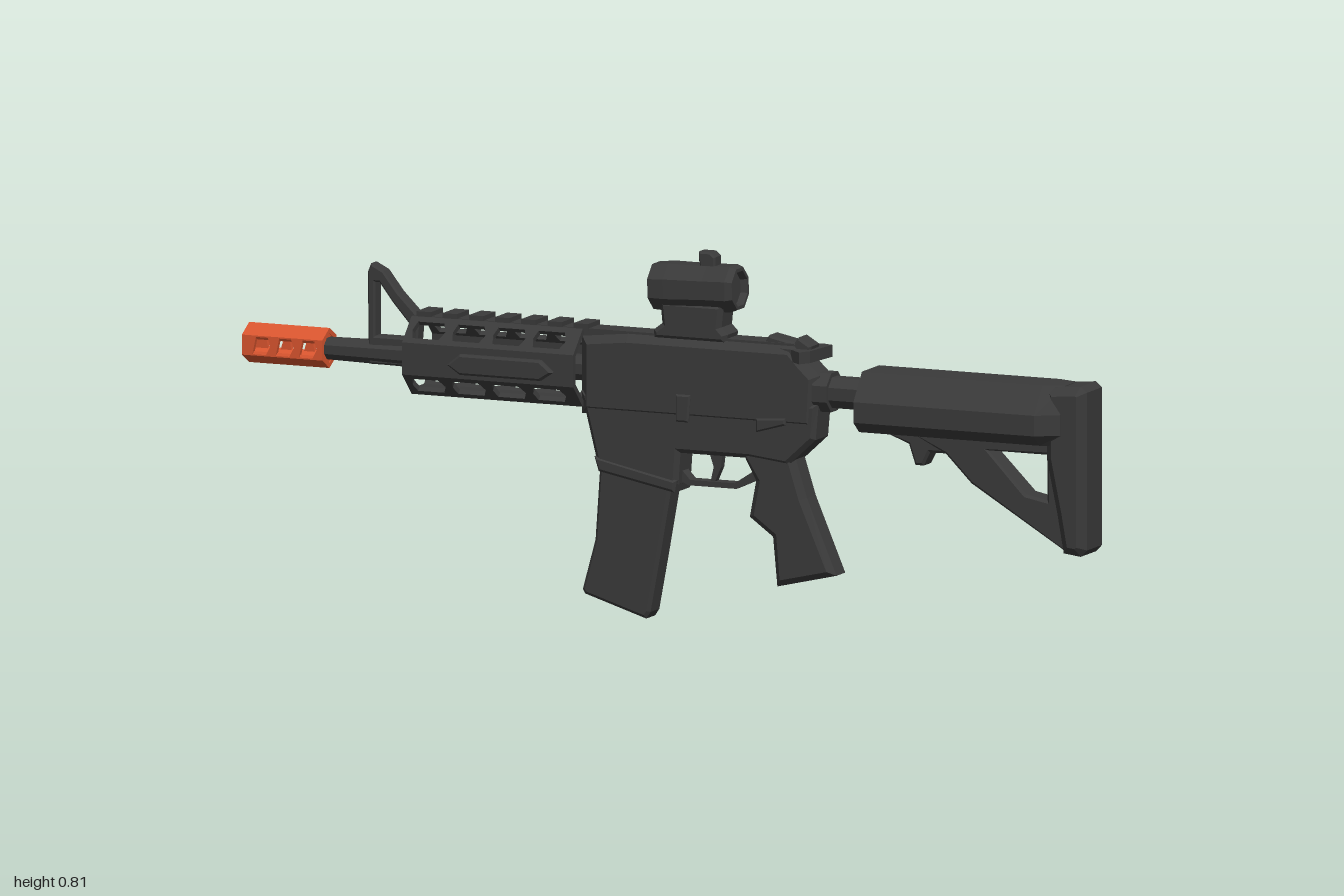
import * as THREE from 'three';

const black = new THREE.MeshStandardMaterial({ color: 0x3a3a3a, flatShading: true });
black.name = 'charcoal';
const orange = new THREE.MeshStandardMaterial({ color: 0xd9552f, flatShading: true });
orange.name = 'safety orange';

const vec = (pts) => pts.map(([x, y]) => new THREE.Vector2(x, y));

// Side outline thickened along z about z = 0, with chamfered edges
function slabGeometry(pts, width, bevel = 0, holes = []) {
  const shape = new THREE.Shape(vec(pts));
  holes.forEach((h) => shape.holes.push(new THREE.Path(vec(h))));
  const depth = width - 2 * bevel;
  const geo = new THREE.ExtrudeGeometry(shape, {
    depth, bevelEnabled: bevel > 0, bevelSize: bevel, bevelThickness: bevel,
    bevelOffset: -bevel, bevelSegments: 1, steps: 1,
  });
  return geo.translate(0, 0, -depth / 2);
}

export function createModel() {
  const model = new THREE.Group();
  model.name = 'rifle';

  function add(name, geo, mat = black, parent = model) {
    const mesh = new THREE.Mesh(geo, mat);
    mesh.name = name;
    parent.add(mesh);
  }
  const slab = (name, pts, width, bevel, holes) => add(name, slabGeometry(pts, width, bevel, holes));
  function box(name, x0, x1, y0, y1, z0, z1) {
    const geo = new THREE.BoxGeometry(x1 - x0, y1 - y0, z1 - z0);
    add(name, geo.translate((x0 + x1) / 2, (y0 + y1) / 2, (z0 + z1) / 2));
  }
  // Faceted rod along x
  function rod(name, x0, x1, y, r0, r1 = r0, sides = 8, mat = black) {
    const geo = new THREE.CylinderGeometry(r1, r0, x1 - x0, sides);
    geo.rotateY(Math.PI / sides).rotateZ(-Math.PI / 2);
    add(name, geo.translate((x0 + x1) / 2, y, 0), mat);
  }
  // Hollow prism along x made of flat panels, some with slots
  function slottedTube(name, x0, x1, y, apothem, sides, wall, mat, slots, isSlotted) {
    const tube = new THREE.Group();
    tube.name = name;
    tube.position.y = y;
    model.add(tube);
    const h = apothem * Math.tan(Math.PI / sides);
    for (let k = 0; k < sides; k++) {
      const geo = slabGeometry([[x0, -h], [x1, -h], [x1, h], [x0, h]], wall, 0, isSlotted(k) ? slots : []);
      geo.translate(0, 0, apothem - wall / 2).rotateX((k * 2 * Math.PI) / sides);
      add(name + 'Panel', geo, mat, tube);
    }
  }

  // Orange muzzle with three slanted windows on each side
  const windows = [-0.975, -0.92, -0.865].map((x) =>
    [[x, -0.019], [x + 0.032, -0.019], [x + 0.042, 0], [x + 0.036, 0.019], [x + 0.008, 0.019]]);
  slottedTube('muzzle', -1, -0.81, 0.535, 0.038, 6, 0.01, orange, windows, (k) => k % 3 === 0);
  rod('muzzleCollar', -0.822, -0.812, 0.535, 0.038, 0.038, 6, orange);

  // Barrel
  rod('barrel', -0.82, -0.6, 0.535, 0.025, 0.029);
  rod('innerBarrel', -0.6, -0.19, 0.535, 0.029);

  // Front sight tower
  slab('frontSight',
    [[-0.71, 0.51], [-0.6, 0.51], [-0.59, 0.62], [-0.64, 0.67], [-0.675, 0.715], [-0.705, 0.73], [-0.713, 0.71]],
    0.036, 0.004, [[[-0.695, 0.572], [-0.695, 0.69], [-0.685, 0.69], [-0.655, 0.65], [-0.615, 0.605], [-0.615, 0.572]]]);

  // Handguard with slots along its sloping faces
  const slots = [-0.58, -0.485, -0.39, -0.295].map((x) =>
    [[x, -0.022], [x + 0.062, -0.022], [x + 0.072, 0], [x + 0.062, 0.022], [x, 0.022], [x - 0.006, 0]]);
  slottedTube('handguard', -0.6, -0.195, 0.54, 0.085, 8, 0.012, black, slots, (k) => k % 2 === 1);
  for (const s of [-1, 1]) {
    const strip = slabGeometry([[-0.46, 0.515], [-0.27, 0.515], [-0.24, 0.535], [-0.27, 0.56], [-0.46, 0.56], [-0.49, 0.535]], 0.02, 0.005);
    add('sideRail', strip.translate(0, 0, s * 0.088));
  }

  // Top rail with ridges
  box('topRail', -0.6, 0.3, 0.61, 0.626, -0.028, 0.028);
  for (let x = -0.59; x < -0.2; x += 0.062) box('railRidge', x, x + 0.034, 0.62, 0.636, -0.032, 0.032);

  // Receiver
  slab('upperReceiver',
    [[-0.2, 0.44], [0.355, 0.44], [0.362, 0.56], [0.33, 0.59], [0.3, 0.622], [-0.09, 0.622], [-0.2, 0.61]], 0.09, 0.018);
  slab('lowerReceiver',
    [[-0.2, 0.49], [-0.185, 0.43], [-0.16, 0.33], [0.01, 0.29], [0.03, 0.3], [0.035, 0.37], [0.2, 0.37],
      [0.29, 0.36], [0.355, 0.42], [0.362, 0.5]], 0.084, 0.01);
  slab('magazineWellLip', [[-0.165, 0.35], [-0.155, 0.318], [0.025, 0.283], [0.03, 0.31]], 0.092, 0.006);
  box('ejectionPort', -0.06, 0.11, 0.5, 0.56, -0.049, -0.043);
  slab('boltCatch', [[0.03, 0.44], [0.06, 0.44], [0.065, 0.5], [0.03, 0.5]], 0.1, 0.004);
  slab('selector', [[0.22, 0.43], [0.29, 0.45], [0.29, 0.465], [0.22, 0.46]], 0.1, 0.004);

  // Forward assist on the far side
  const assist = new THREE.CylinderGeometry(0.02, 0.024, 0.09, 6).rotateZ(-Math.PI / 2).rotateY(0.45);
  add('forwardAssist', assist.translate(0.285, 0.54, -0.055));

  // Charging handle and folded rear sight
  const handle = new THREE.ExtrudeGeometry(new THREE.Shape(vec(
    [[0.22, -0.025], [0.29, -0.04], [0.33, -0.063], [0.355, -0.055], [0.345, 0.04], [0.33, 0.065], [0.3, 0.04], [0.22, 0.025]])),
  { depth: 0.026, bevelEnabled: false });
  add('chargingHandle', handle.rotateX(Math.PI / 2).translate(0, 0.615, 0));
  slab('rearSight', [[0.22, 0.61], [0.335, 0.6], [0.34, 0.622], [0.31, 0.64], [0.3, 0.628], [0.24, 0.64]], 0.05, 0.005);

  // Optic: mount, faceted tube and knob
  slab('opticMount',
    [[-0.03, 0.615], [0.14, 0.615], [0.145, 0.635], [0.13, 0.65], [0.135, 0.7], [-0.015, 0.7], [-0.01, 0.65], [-0.03, 0.635]], 0.074, 0.01);
  const opticProfile = vec([[0, -0.08], [0.042, -0.08], [0.047, -0.1], [0.053, -0.098], [0.056, -0.06],
    [0.053, 0.03], [0.054, 0.085], [0.048, 0.1], [0.04, 0.1], [0.036, 0.085], [0, 0.085]]);
  const opticTube = new THREE.LatheGeometry(opticProfile, 8).rotateY(Math.PI / 8).rotateZ(0.03 - Math.PI / 2);
  add('opticTube', opticTube.translate(0.062, 0.73, 0));
  slab('opticKnob', [[0.075, 0.77], [0.11, 0.77], [0.11, 0.8], [0.098, 0.81], [0.07, 0.81], [0.07, 0.795]], 0.036, 0.004);

  // Magazine
  slab('magazine', [[-0.158, 0.34], [-0.17, 0.165], [-0.2, 0.055], [-0.195, 0.045], [-0.05, 0], [-0.04, 0.015],
    [-0.015, 0.15], [0.015, 0.32]], 0.06, 0.007);

  // Trigger and guard
  slab('triggerGuard', [[0.02, 0.31], [0.045, 0.297], [0.16, 0.297], [0.21, 0.32], [0.21, 0.345], [0.155, 0.309], [0.05, 0.309], [0.03, 0.33]], 0.03);
  slab('trigger', [[0.09, 0.38], [0.125, 0.38], [0.12, 0.34], [0.105, 0.305], [0.095, 0.305], [0.103, 0.34]], 0.018);

  // Pistol grip
  slab('grip', [[0.175, 0.385], [0.3, 0.385], [0.33, 0.29], [0.4, 0.125], [0.26, 0.092], [0.25, 0.2], [0.195, 0.24], [0.21, 0.32]],
    0.074, 0.014);

  // Tube joining receiver and stock
  rod('stockTube', 0.34, 0.5, 0.523, 0.036);
  rod('stockNut', 0.35, 0.385, 0.523, 0.046);

  // Stock body: faceted cross-section along x, narrowing at the back
  const section = new THREE.Shape(vec([[0.045, 0.58], [0.09, 0.52], [0.09, 0.475], [0.06, 0.45],
    [-0.06, 0.45], [-0.09, 0.475], [-0.09, 0.52], [-0.045, 0.58]]));
  const stock = new THREE.ExtrudeGeometry(section, { depth: 0.475, steps: 10, bevelEnabled: false });
  stock.rotateY(Math.PI / 2).translate(0.47, 0, 0);
  const p = stock.attributes.position;
  for (let i = 0; i < p.count; i++) {
    p.setZ(i, p.getZ(i) * (1 - 0.35 * THREE.MathUtils.clamp((p.getX(i) - 0.9) / 0.045, 0, 1)));
  }
  stock.computeVertexNormals();
  add('stockBody', stock);

  // Stock brace with triangular opening, release lever and butt pad
  slab('stockBrace', [[0.56, 0.46], [0.66, 0.41], [0.72, 0.35], [0.95, 0.212], [0.96, 0.46]], 0.06, 0.006,
    [[[0.76, 0.425], [0.9, 0.425], [0.9, 0.325], [0.85, 0.335]]]);
  slab('releaseLever', [[0.48, 0.46], [0.57, 0.425], [0.585, 0.38], [0.605, 0.38], [0.62, 0.41], [0.7, 0.41], [0.72, 0.46]], 0.05, 0.006);
  slab('braceRib', [[0.72, 0.345], [0.77, 0.34], [0.85, 0.33], [0.765, 0.42], [0.71, 0.39]], 0.04, 0.005);
  slab('buttPad', [[0.905, 0.575], [0.985, 0.582], [1, 0.57], [1, 0.225], [0.985, 0.21], [0.945, 0.215], [0.93, 0.3], [0.905, 0.42]],
    0.115, 0.018);

  return model;
}
